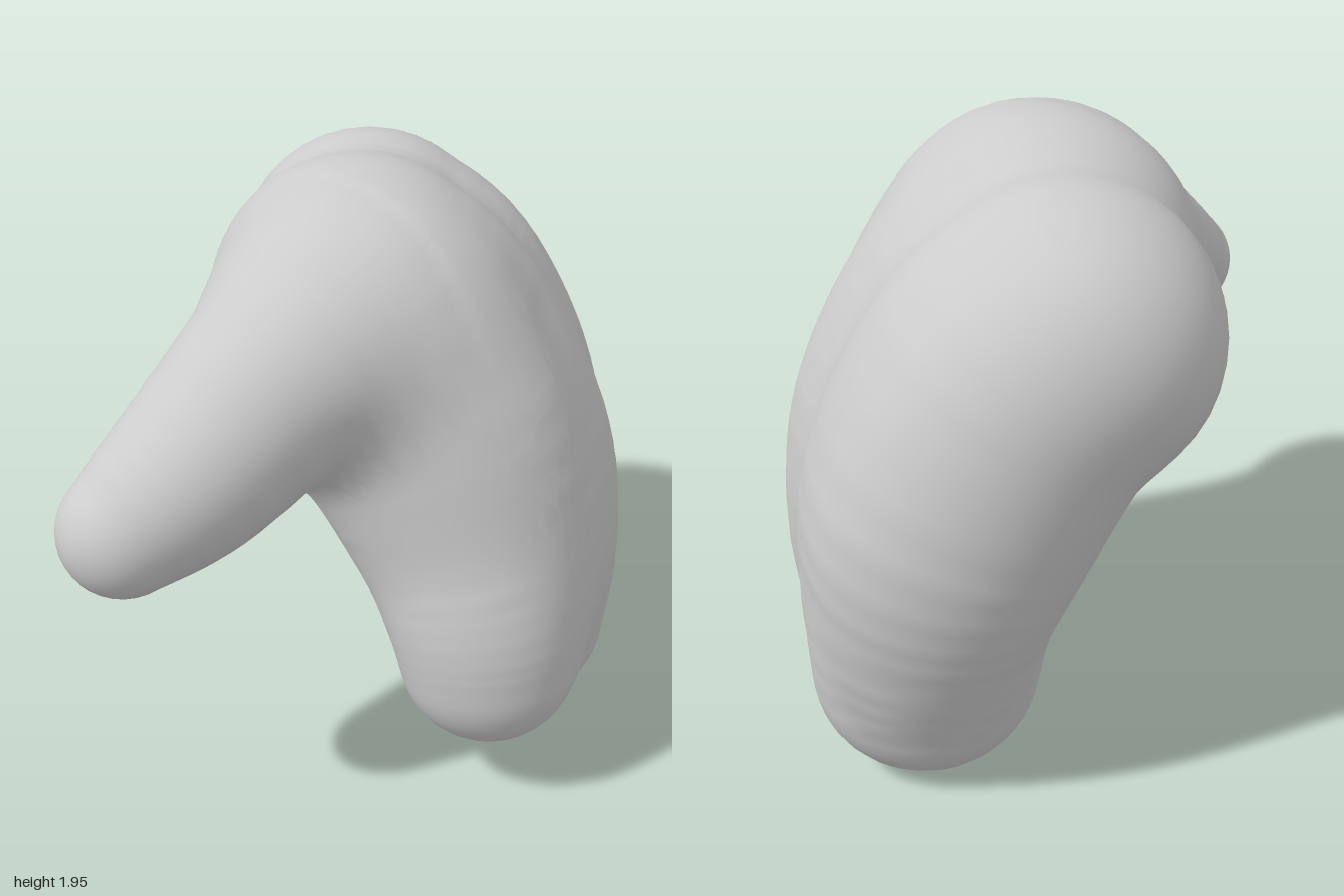
import * as THREE from 'three';

const material = new THREE.MeshStandardMaterial({ color: 0xcccccc });
const BLEND = 0.14;   // how softly the parts melt together
const REACH = 0.12;   // how far a part may swell beyond its own form
const ACROSS = new THREE.Vector3(0, 0, 1);
const UP = new THREE.Vector3(0, 1, 0);

// Stations: [x, y, z, radius, half width across z]; flat = extra straight width.
const PARTS = [
  // Broad palm and back of the hand, bending over into the fingers
  { name: 'palm', ref: ACROSS, flat: 0.3, sides: 64, stations: [
    [-0.05, 1.48, -0.14, 0.40, 0.30],
    [0.12, 1.33, -0.14, 0.41, 0.31],
    [0.30, 0.99, -0.13, 0.40, 0.30],
    [0.40, 0.66, -0.11, 0.33, 0.26],
    [0.42, 0.40, -0.09, 0.26, 0.18],
  ] },
  // Three fingers, the back one the widest and the front one the shortest
  { name: 'backFinger', ref: ACROSS, flat: 0, sides: 40, stations: [
    [-0.08, 1.44, -0.55, 0.42, 0.40],
    [0.10, 1.28, -0.58, 0.43, 0.40],
    [0.27, 0.95, -0.61, 0.42, 0.38],
    [0.34, 0.65, -0.58, 0.37, 0.34],
    [0.37, 0.36, -0.53, 0.35, 0.27],
  ] },
  { name: 'middleFinger', ref: ACROSS, flat: 0, sides: 40, stations: [
    [-0.06, 1.50, -0.05, 0.44, 0.34],
    [0.12, 1.35, -0.05, 0.44, 0.34],
    [0.31, 1.01, -0.05, 0.43, 0.32],
    [0.41, 0.68, -0.05, 0.38, 0.30],
    [0.42, 0.37, -0.05, 0.35, 0.26],
  ] },
  { name: 'frontFinger', ref: ACROSS, flat: 0, sides: 40, stations: [
    [0.00, 1.42, 0.20, 0.41, 0.30],
    [0.19, 1.20, 0.27, 0.39, 0.27],
    [0.32, 0.87, 0.32, 0.33, 0.25],
    [0.38, 0.63, 0.36, 0.30, 0.26],
    [0.40, 0.48, 0.37, 0.28, 0.25],
  ] },
  // Thumb tapering forwards and down from the palm
  { name: 'thumb', ref: UP, flat: 0, sides: 40, stations: [
    [0.00, 1.50, 0.12, 0.41, 0.41],
    [-0.12, 1.48, 0.28, 0.36, 0.36],
    [-0.26, 1.41, 0.45, 0.30, 0.30],
    [-0.45, 1.25, 0.67, 0.25, 0.25],
    [-0.61, 1.14, 0.81, 0.19, 0.19],
  ] },
];

// Smooth centreline of a part, with its sampled nodes
function trace({ stations, ...part }) {
  const curve = pick => new THREE.CatmullRomCurve3(stations.map(pick), false, 'catmullrom', 0.5);
  const path = curve(s => new THREE.Vector3(s[0], s[1], s[2]));
  const size = curve(s => new THREE.Vector3(s[3], s[4], 0));
  const nodes = [];
  for (let i = 0; i <= 16; i++) nodes.push({ p: path.getPoint(i / 16), s: size.getPoint(i / 16) });
  return { ...part, path, nodes };
}

// Signed distance to one part: a rounded chain along its centreline
function distance(part, p) {
  let best = Infinity;
  for (let i = 1; i < part.nodes.length; i++) {
    const { p: a, s: sa } = part.nodes[i - 1], { p: b, s: sb } = part.nodes[i];
    const ex = b.x - a.x, ey = b.y - a.y, ez = b.z - a.z;
    const dot = (p.x - a.x) * ex + (p.y - a.y) * ey + (p.z - a.z) * ez;
    const t = Math.min(1, Math.max(0, dot / (ex * ex + ey * ey + ez * ez)));
    const r = sa.x + (sb.x - sa.x) * t, w = sa.y + (sb.y - sa.y) * t;
    const dz = Math.max(0, Math.abs(p.z - a.z - ez * t) - part.flat) * r / w;
    best = Math.min(best, Math.hypot(p.x - a.x - ex * t, p.y - a.y - ey * t, dz) - r);
  }
  return best;
}

// Signed distance to all parts melted together
function fused(parts, p) {
  return parts.map(part => distance(part, p)).reduce((a, b) => {
    const h = Math.max(0, BLEND - Math.abs(a - b));
    return Math.min(a, b) - h * h / (4 * BLEND);
  });
}

function fusedNormal(parts, p) {
  const e = 0.012, n = new THREE.Vector3();
  for (const axis of ['x', 'y', 'z']) {
    const q = p.clone();
    q[axis] += e;
    n[axis] = fused(parts, q);
    q[axis] -= 2 * e;
    n[axis] -= fused(parts, q);
  }
  return n.normalize();
}

// Skin of one part: rings around the centreline pushed out to the melted surface
function skin(part, parts) {
  const rings = [], cap = 9, body = 26;
  for (let i = 0; i < cap; i++) rings.push([0, -Math.PI / 2 * (1 - i / cap)]);
  for (let i = 0; i <= body; i++) rings.push([i / body, 0]);
  for (let i = 1; i <= cap; i++) rings.push([1, Math.PI / 2 * i / cap]);

  const positions = [], normals = [], index = [], sides = part.sides;
  rings.forEach(([t, tilt], i) => {
    const centre = part.path.getPoint(t);
    const along = part.path.getTangent(t);
    const a = along.clone().cross(part.ref).normalize();
    const b = along.clone().cross(a);
    for (let j = 0; j < sides; j++) {
      const angle = 2 * Math.PI * j / sides;
      const dir = a.clone().multiplyScalar(Math.cos(angle) * Math.cos(tilt))
        .addScaledVector(b, Math.sin(angle) * Math.cos(tilt))
        .addScaledVector(along, Math.sin(tilt));
      const p = centre.clone();
      for (let k = 0; k < 30; k++) {
        const gap = Math.max(fused(parts, p), distance(part, p) - REACH);
        p.addScaledVector(dir, -0.6 * gap);
        if (Math.abs(gap) < 0.0005) break;
      }
      positions.push(p.x, p.y, p.z);
      normals.push(...fusedNormal(parts, p).toArray());
      if (i < rings.length - 1) {
        const n = (j + 1) % sides, lo = i * sides, hi = lo + sides;
        index.push(lo + j, lo + n, hi + n, lo + j, hi + n, hi + j);
      }
    }
  });
  const geometry = new THREE.BufferGeometry();
  geometry.setAttribute('position', new THREE.Float32BufferAttribute(positions, 3));
  geometry.setAttribute('normal', new THREE.Float32BufferAttribute(normals, 3));
  geometry.setIndex(index);
  const mesh = new THREE.Mesh(geometry, material);
  mesh.name = part.name;
  return mesh;
}

export function createModel() {
  const group = new THREE.Group();
  group.name = 'curledHand';
  const parts = PARTS.map(trace);
  for (const part of parts) group.add(skin(part, parts));
  return group;
}
